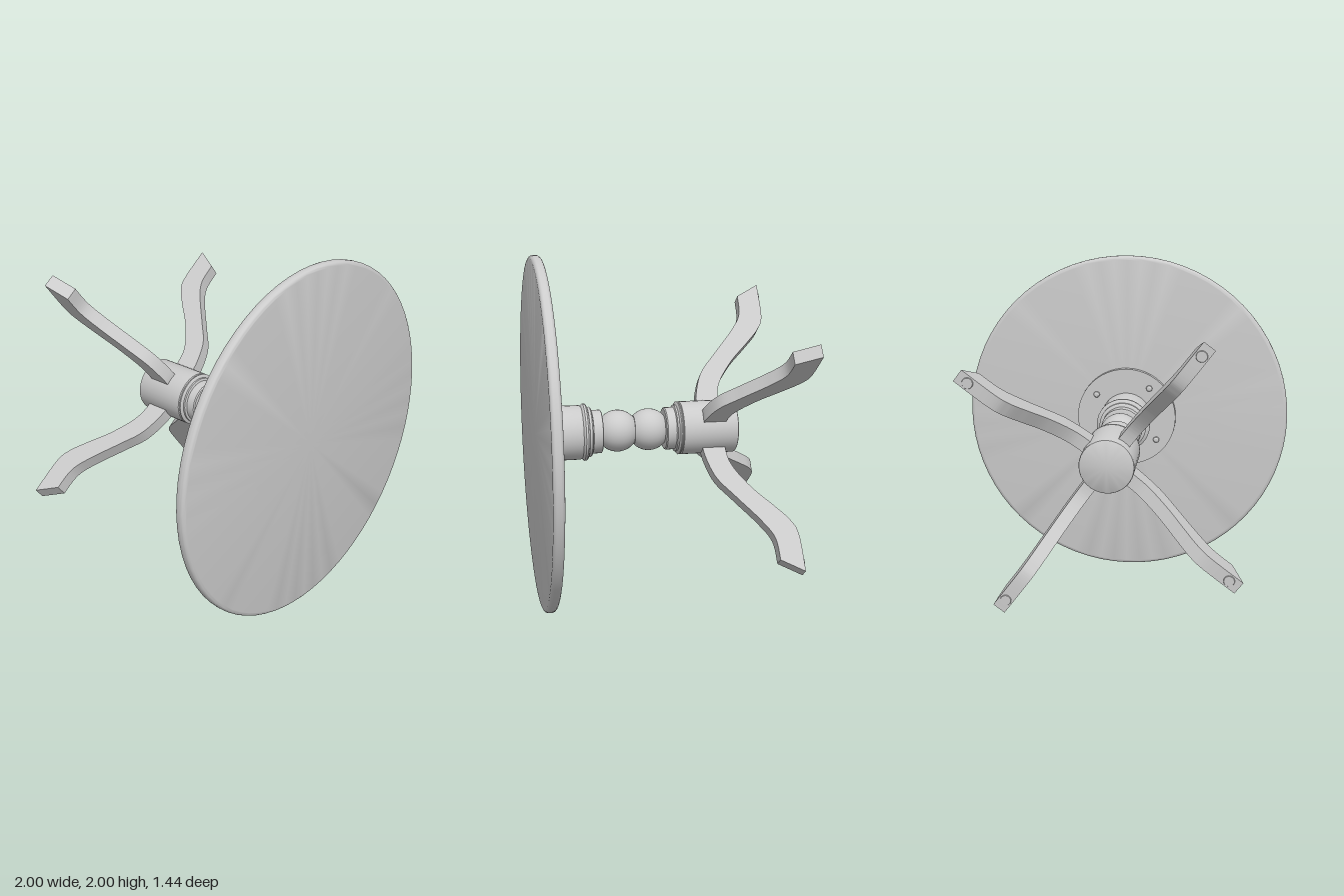
import * as THREE from 'three';
import { toCreasedNormals } from 'three/addons/utils/BufferGeometryUtils.js';

const grey = new THREE.MeshStandardMaterial({ color: 0xcccccc });
const v2 = (p) => new THREE.Vector2(p[0], p[1]);
const LEG_ANGLE = THREE.MathUtils.degToRad(37);

function part(name, geometry, crease = 0.6) {
  const mesh = new THREE.Mesh(toCreasedNormals(geometry, crease), grey);
  mesh.name = name;
  return mesh;
}

// Turned part around the z axis; profile is [radius, z] with z rising
function turned(name, profile, segments = 32) {
  const geometry = new THREE.LatheGeometry(profile.map(v2), segments);
  geometry.rotateX(Math.PI / 2);
  return part(name, geometry);
}

// Points of a ball section between two z values
function ball(z0, z1, radius) {
  const mid = (z0 + z1) / 2, points = [];
  for (let i = 0; i <= 12; i++) {
    const z = THREE.MathUtils.lerp(z0, z1, i / 12);
    points.push([Math.sqrt(radius ** 2 - (z - mid) ** 2), z]);
  }
  return points;
}

// S-curved leg, drawn in the radius/z plane and given a thickness
function legGeometry(width) {
  const front = [[0.08, -0.23], [0.19, -0.238], [0.33, -0.285], [0.45, -0.38], [0.6, -0.505], [0.71, -0.572], [0.84, -0.582]];
  const back = [[0.915, -0.715], [0.7, -0.712], [0.61, -0.675], [0.52, -0.595], [0.39, -0.472], [0.24, -0.378], [0.08, -0.36]];
  const shape = new THREE.Shape();
  shape.moveTo(...front[0]);
  shape.splineThru(front.slice(1).map(v2));
  shape.lineTo(...back[0]);
  shape.splineThru(back.slice(1).map(v2));
  shape.closePath();
  const geometry = new THREE.ExtrudeGeometry(shape, { depth: width, bevelEnabled: false, curveSegments: 20 });
  geometry.translate(0, 0, -width / 2);
  geometry.rotateX(Math.PI / 2);
  return geometry;
}

export function createModel() {
  const table = new THREE.Group();
  table.name = 'pedestalTable';
  table.position.y = 1;

  // Round top with a softened rim
  const rim = [[0, 0.655]];
  for (let i = 0; i <= 6; i++) {
    const a = -Math.PI / 2 + (i / 6) * (Math.PI / 2);
    rim.push([0.976 + 0.024 * Math.cos(a), 0.679 + 0.024 * Math.sin(a)]);
  }
  for (let i = 0; i <= 6; i++) {
    const a = (i / 6) * (Math.PI / 2);
    rim.push([0.976 + 0.024 * Math.cos(a), 0.691 + 0.024 * Math.sin(a)]);
  }
  rim.push([0, 0.715]);
  table.add(turned('tableTop', rim, 72));

  // Mounting plate under the top
  table.add(turned('mountingPlate', [[0, 0.622], [0.307, 0.622], [0.307, 0.656], [0, 0.656]], 48));

  // Turned column: hub, collars, two balls, upper block
  table.add(turned('column', [
    [0, -0.438], [0.143, -0.438], [0.15, -0.434], [0.153, -0.426], [0.153, -0.12],
    [0.147, -0.116], [0.153, -0.11], [0.153, -0.104], [0.146, -0.098], [0.135, -0.096],
    [0.135, -0.086], [0.122, -0.082], [0.122, -0.032], [0.116, -0.026], [0.085, -0.024],
    ...ball(-0.024, 0.15, 0.12), ...ball(0.15, 0.336, 0.12),
    [0.117, 0.336], [0.124, 0.34], [0.124, 0.392], [0.138, 0.396], [0.143, 0.402], [0.143, 0.416],
    [0.155, 0.42], [0.163, 0.428], [0.163, 0.44], [0.156, 0.448],
    [0.15, 0.452], [0.155, 0.462], [0.155, 0.624], [0, 0.624],
  ]));

  // Four legs with foot pads, and four plate screws
  const leg = legGeometry(0.075);
  for (let i = 0; i < 4; i++) {
    const quarter = new THREE.Group();
    quarter.name = 'legAndScrew' + (i + 1);
    quarter.rotation.z = LEG_ANGLE + (i * Math.PI) / 2;
    quarter.add(part('leg', leg));

    const pad = turned('footPad', [[0, -0.721], [0.028, -0.721], [0.032, -0.712], [0, -0.712]], 16);
    pad.position.x = 0.85;
    quarter.add(pad);

    const screw = turned('screw', [[0, 0.602], [0.01, 0.604], [0.018, 0.612], [0.02, 0.624], [0, 0.624]], 12);
    screw.position.x = 0.235;
    quarter.add(screw);
    table.add(quarter);
  }

  const model = new THREE.Group();
  model.name = 'model';
  model.add(table);
  return model;
}
